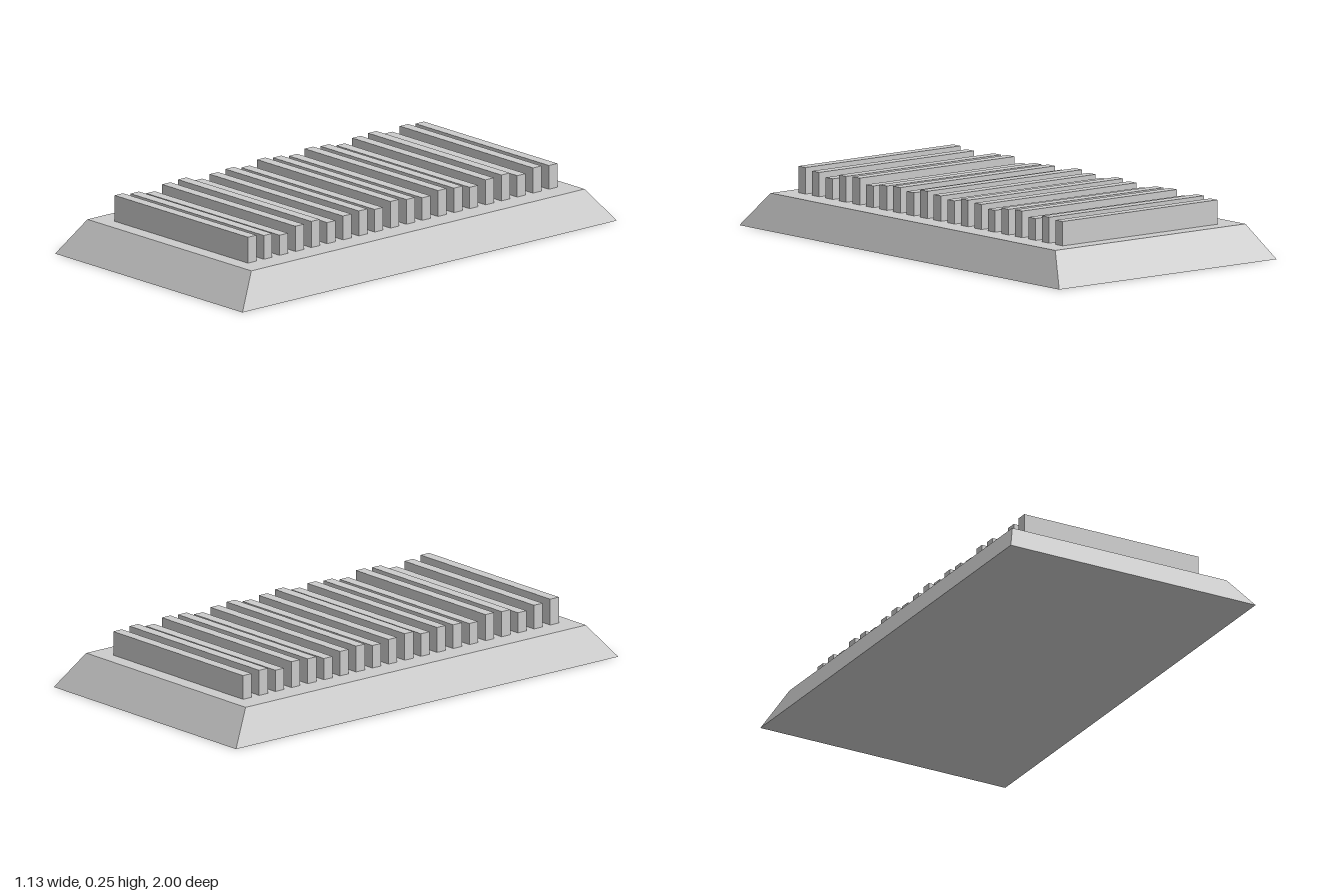
import * as THREE from 'three';

const material = new THREE.MeshStandardMaterial({ color: 0xcccccc, flatShading: true });

// Block standing on y = 0 whose top is narrowed by the given factors
function taperedBlock(width, height, depth, topX, topZ) {
  const geometry = new THREE.BoxGeometry(width, height, depth).translate(0, height / 2, 0);
  const p = geometry.attributes.position;
  for (let i = 0; i < p.count; i++) {
    if (p.getY(i) > height / 2) {
      p.setX(i, p.getX(i) * topX);
      p.setZ(i, p.getZ(i) * topZ);
    }
  }
  geometry.computeVertexNormals();
  return geometry;
}

export function createModel() {
  const model = new THREE.Group();
  model.name = 'finnedPlinth';

  // Sloped base
  const baseHeight = 0.137;
  const base = new THREE.Mesh(taperedBlock(1.132, baseHeight, 2, 0.875, 0.89), material);
  base.name = 'base';
  model.add(base);

  // Row of thin fins with slightly uneven tops, from front to back
  const tops = [
    0.245, 0.236, 0.221, 0.242, 0.246, 0.225, 0.236, 0.241, 0.231, 0.248,
    0.24, 0.231, 0.245, 0.239, 0.226, 0.241, 0.245, 0.226, 0.242, 0.236,
  ];
  const fins = new THREE.Group();
  fins.name = 'fins';
  tops.forEach((top, i) => {
    const height = top - baseHeight;
    const fin = new THREE.Mesh(new THREE.BoxGeometry(0.806, height, 0.045), material);
    fin.name = `fin${i + 1}`;
    fin.position.set(0, baseHeight + height / 2, 0.804 - i * 0.0846);
    fins.add(fin);
  });
  model.add(fins);

  return model;
}
